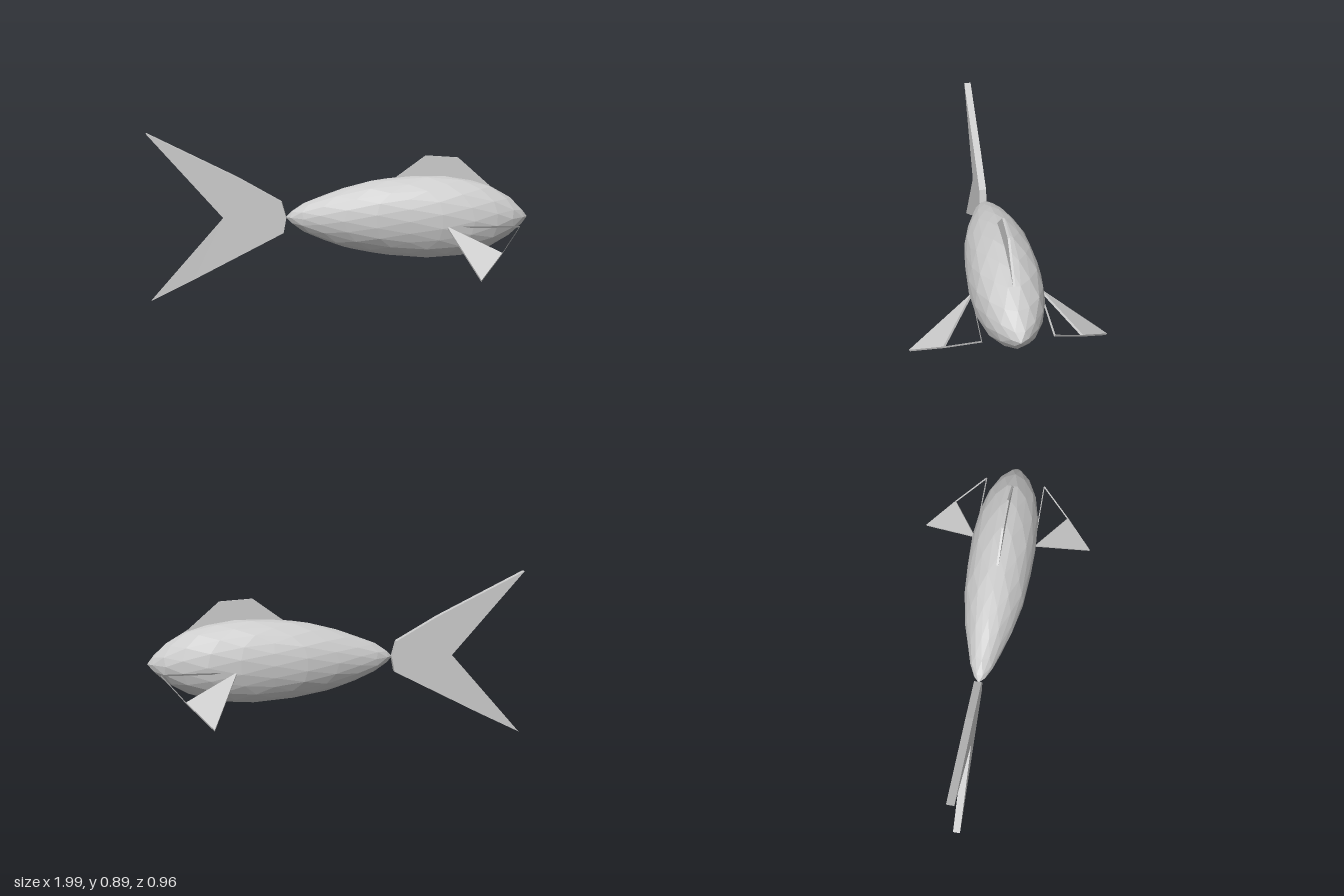
import * as THREE from 'three';

const grey = new THREE.MeshStandardMaterial({ color: 0xcccccc, flatShading: true });
const greyThin = new THREE.MeshStandardMaterial({ color: 0xcccccc, flatShading: true, side: THREE.DoubleSide });

function named(name, geometry, material = grey) {
  const mesh = new THREE.Mesh(geometry, material);
  mesh.name = name;
  return mesh;
}

// Flat fin cut from an outline, centred on its own plane
function plate(points, depth) {
  const shape = new THREE.Shape(points.map(([x, y]) => new THREE.Vector2(x, y)));
  return new THREE.ExtrudeGeometry(shape, { depth, bevelEnabled: false }).translate(0, 0, -depth / 2);
}

// Body profile: x, top y, bottom y, half width
const stations = [
  [-0.285, 0.445, 0.445, 0], [-0.26, 0.475, 0.415, 0.027], [-0.2, 0.515, 0.37, 0.058], [0, 0.593, 0.288, 0.122],
  [0.2, 0.645, 0.245, 0.163], [0.45, 0.668, 0.224, 0.178], [0.62, 0.655, 0.232, 0.176],
  [0.78, 0.615, 0.278, 0.147], [0.9, 0.545, 0.343, 0.093], [0.96, 0.49, 0.4, 0.045], [0.993, 0.443, 0.443, 0],
];

function section(x) {
  let i = 1;
  while (i < stations.length - 1 && x > stations[i][0]) i++;
  const a = stations[i - 1], b = stations[i];
  const t = THREE.MathUtils.clamp((x - a[0]) / (b[0] - a[0]), 0, 1);
  return a.map((v, k) => v + (b[k] - v) * t);
}

// Faceted ball stretched along x to follow the profile
function bodyGeometry() {
  const geo = new THREE.IcosahedronGeometry(1, 3);
  const pos = geo.attributes.position;
  for (let i = 0; i < pos.count; i++) {
    const u = pos.getX(i), y = pos.getY(i), z = pos.getZ(i);
    const r = Math.hypot(y, z) || 1;
    const x = 0.354 + 0.639 * u;
    const [, top, bottom, width] = section(x);
    pos.setXYZ(i, x, (top + bottom) / 2 + (y / r) * (top - bottom) / 2, (z / r) * width);
  }
  geo.computeVertexNormals();
  return geo;
}

// Side fin: a solid blade with an open thin rim towards the head
function sideFin(side) {
  const fin = new THREE.Group();
  fin.name = side > 0 ? 'rightSideFin' : 'leftSideFin';
  const depth = 0.011;
  fin.add(named('finBlade', plate([[0.545, 0], [0.8, 0.19], [0.67, 0.374]], depth)));
  const path = [[0.8, 0.19], [0.92, 0], [0.545, 0]];
  const rim = new THREE.PlaneGeometry(1, 1, 2, 1);
  const pos = rim.attributes.position;
  for (let i = 0; i < pos.count; i++) {
    const [x, y] = path[i % 3];
    pos.setXYZ(i, x, y, i < 3 ? depth / 2 : -depth / 2);
  }
  rim.computeVertexNormals();
  fin.add(named('finRim', rim, greyThin));
  fin.position.set(0, 0.416, side * 0.164);
  fin.rotation.x = side * 2.156;
  return fin;
}

export function createModel() {
  const fish = new THREE.Group();
  fish.name = 'fish';
  fish.add(named('body', bodyGeometry()));
  fish.add(named('tailFin', plate([
    [-1, 0.887], [-0.61, 0.443], [-1, 0], [-0.77, 0.115], [-0.296, 0.362],
    [-0.281, 0.44], [-0.305, 0.527], [-0.53, 0.655],
  ], 0.038)));
  fish.add(named('backFin', plate([[0.29, 0.65], [0.45, 0.768], [0.62, 0.757], [0.79, 0.608]], 0.011)));
  fish.add(sideFin(1), sideFin(-1));
  return fish;
}
